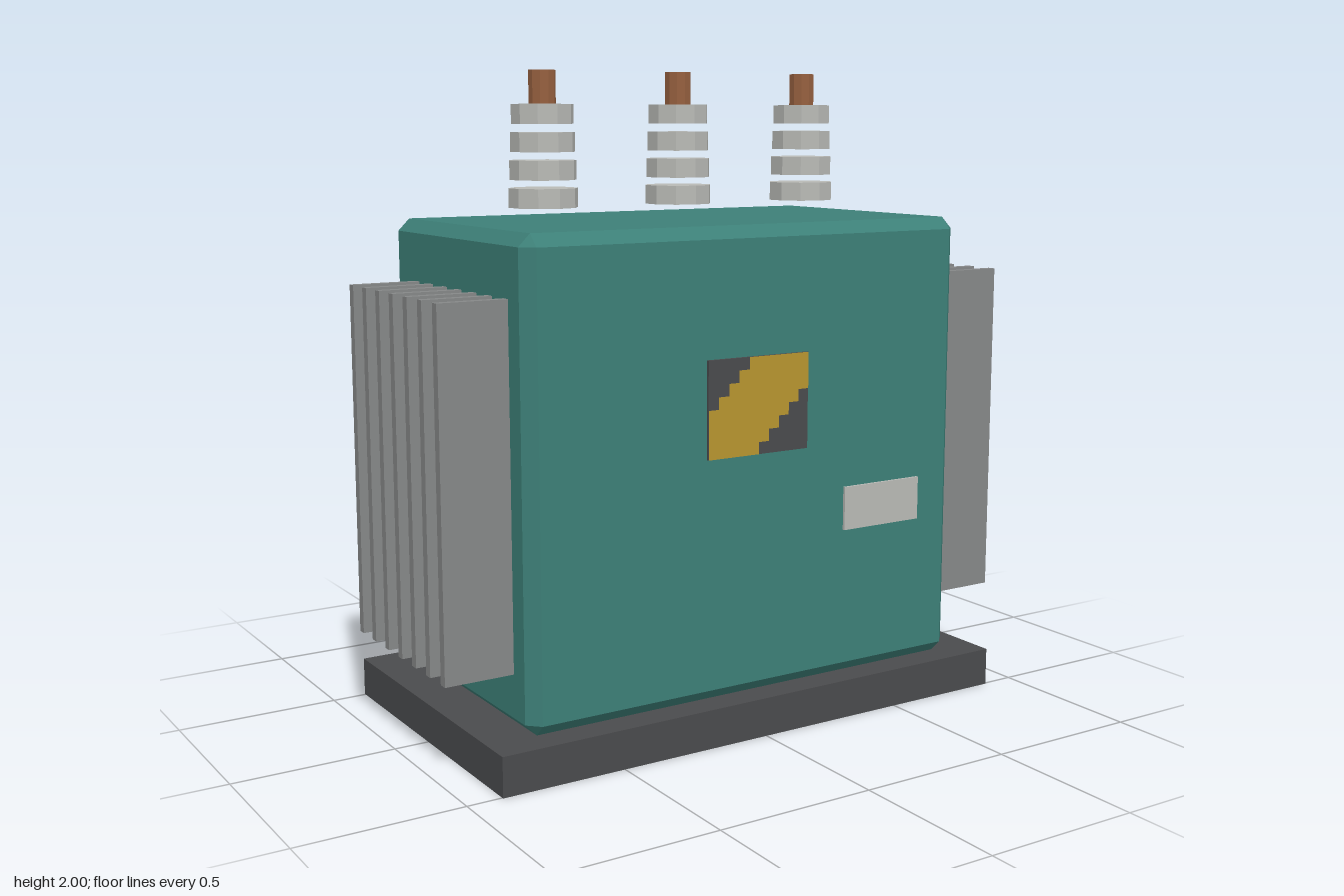
import * as THREE from 'three';
import { ConvexGeometry } from 'three/addons/geometries/ConvexGeometry.js';

const flat = (name, color) => {
  const m = new THREE.MeshStandardMaterial({ color });
  m.name = name;
  return m;
};

// Box with every edge and corner cut by a single chamfer
function chamferedBox(w, h, d, c) {
  const points = [];
  for (const x of [-w / 2, w / 2]) for (const y of [-h / 2, h / 2]) for (const z of [-d / 2, d / 2]) {
    const sx = Math.sign(x) * c, sy = Math.sign(y) * c, sz = Math.sign(z) * c;
    points.push(
      new THREE.Vector3(x, y - sy, z - sz),
      new THREE.Vector3(x - sx, y, z - sz),
      new THREE.Vector3(x - sx, y - sy, z));
  }
  return new ConvexGeometry(points);
}

// Cylinder with hard facets
const facetedCylinder = (rTop, rBottom, h, sides) => {
  const g = new THREE.CylinderGeometry(rTop, rBottom, h, sides).toNonIndexed();
  g.computeVertexNormals();
  return g;
};

export function createModel() {
  const model = new THREE.Group();
  model.name = 'transformer';

  const green = flat('tank green', 0x3d8078);
  const charcoal = flat('charcoal', 0x4a4b4d);
  const grey = flat('radiator grey', 0x868888);
  const porcelain = flat('porcelain', 0xb9bab6);
  const copper = flat('copper', 0x96603f);
  const yellow = flat('warning yellow', 0xb89530);

  const add = (parent, name, geometry, material, x, y, z) => {
    const mesh = new THREE.Mesh(geometry, material);
    mesh.name = name;
    mesh.position.set(x, y, z);
    parent.add(mesh);
    return mesh;
  };

  // Plinth and tank
  add(model, 'base', new THREE.BoxGeometry(1.784, 0.12, 1.01), charcoal, 0, 0.06, 0);
  add(model, 'tank', chamferedBox(1.544, 1.43, 0.892, 0.037), green, 0, 0.835, 0);

  // Cooling fins on both sides
  const finGeometry = new THREE.BoxGeometry(0.213, 1.07, 0.028);
  for (const side of [-1, 1]) {
    const radiator = new THREE.Group();
    radiator.name = side > 0 ? 'leftRadiator' : 'rightRadiator';
    for (let i = 0; i < 7; i++)
      add(radiator, 'fin', finGeometry, grey, side * 0.8935, 0.835, 0.359 - i * 0.099);
    model.add(radiator);
  }

  // Three bushings: stacked tapering discs and a terminal rod
  for (const x of [-0.477, 0, 0.477]) {
    const bushing = new THREE.Group();
    bushing.name = 'bushing';
    bushing.position.x = x;
    for (let i = 0; i < 4; i++) {
      const r = 0.105 - i * 0.0035;
      add(bushing, 'insulatorDisc', facetedCylinder(r, r, 0.058, 10), porcelain, 0, 1.624 + i * 0.0825, 0);
    }
    add(bushing, 'terminal', facetedCylinder(0.041, 0.041, 0.1, 10), copper, 0, 1.95, 0);
    model.add(bushing);
  }

  // Warning plate: dark backing with a stepped diagonal yellow band
  add(model, 'warningPlate', new THREE.BoxGeometry(0.36, 0.296, 0.009), charcoal, -0.002, 1.015, 0.4505);
  const cw = 0.036, ch = 0.037, band = new THREE.Shape();
  const outline = [[0, 0], [5, 0]];
  for (let i = 0; i < 5; i++) outline.push([5 + i, i + 1], [6 + i, i + 1]);
  outline.push([10, 8], [4, 8]);
  for (let i = 0; i < 4; i++) outline.push([4 - i, 7 - i], [3 - i, 7 - i]);
  band.setFromPoints(outline.map(([u, v]) => new THREE.Vector2((u - 5) * cw, (v - 4) * ch)));
  add(model, 'warningBand', new THREE.ShapeGeometry(band), yellow, -0.002, 1.015, 0.4565);

  // Nameplate
  add(model, 'nameplate', new THREE.BoxGeometry(0.294, 0.137, 0.009), porcelain, 0.474, 0.658, 0.4505);

  return model;
}
